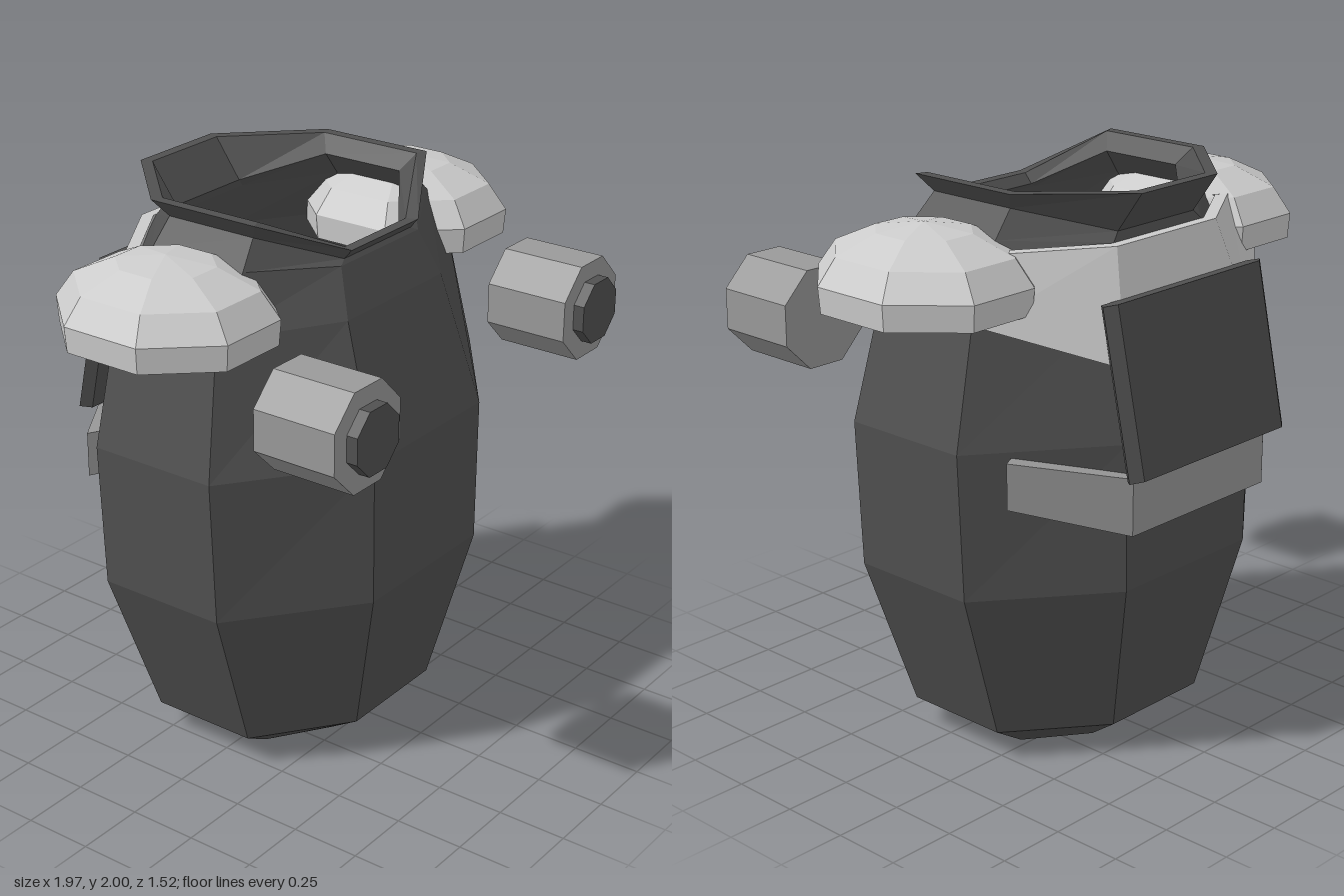
import * as THREE from 'three';

const mat = (color) => new THREE.MeshStandardMaterial({ color, flatShading: true, side: THREE.DoubleSide });
const dark = mat(0x505050), mid = mat(0x999999), light = mat(0xcccccc);

function add(parent, name, geometry, material) {
  const mesh = new THREE.Mesh(geometry, material);
  mesh.name = name;
  parent.add(mesh);
  return mesh;
}

// Skin a list of rings, each an array of [x, y, z] corners
function loft(rings, capped = false) {
  const n = rings[0].length, index = [];
  for (let i = 0; i < rings.length - 1; i++)
    for (let j = 0; j < n; j++) {
      const a = i * n + j, b = i * n + (j + 1) % n;
      index.push(a, b, b + n, a, b + n, a + n);
    }
  if (capped) {
    const e = (rings.length - 1) * n;
    for (let j = 1; j < n - 1; j++) index.push(0, j + 1, j, e, e + j, e + j + 1);
  }
  const g = new THREE.BufferGeometry();
  g.setAttribute('position', new THREE.Float32BufferAttribute(rings.flat(2), 3));
  g.setIndex(index);
  const flat = g.toNonIndexed();
  flat.computeVertexNormals();
  return flat;
}

// Eight-cornered body ring; inset moves the corners inwards
function bodyRing([yf, ys, yb, x, zf, zb, xf, sf, sb], inset = 0) {
  const t = inset, h = inset * 0.4;
  const half = [[xf - h, yf, zf - t], [x - t, ys, sf - h], [x - t, ys, sb + h], [xf - h, yb, zb + t]];
  return [...half, ...half.slice().reverse().map(([px, y, z]) => [-px, y, z])];
}

// Bent band with a thick section, mirrored across x; rows: top x, y, z, bottom x, y, z
function band(rows, k) {
  const zc = -0.08, inner = (x, y, z) => [x * k, y, zc + (z - zc) * k];
  const all = [...rows, ...rows.slice().reverse().map(([a, b, c, d, e, f]) => [-a, b, c, -d, e, f])];
  return loft(all.map(([a, b, c, d, e, f]) => [[d, e, f], [a, b, c], inner(a, b, c), inner(d, e, f)]), true);
}

export function createModel() {
  const model = new THREE.Group();
  model.name = 'armouredVest';

  // Barrel body and flared collar: front y, side y, back y, x, front z, back z, flat x, side z front, side z back
  const profile = [
    [0, 0, 0, 0.37, 0.22, -0.37, 0.16, 0.08, -0.22],
    [0.11, 0.11, 0.11, 0.54, 0.37, -0.52, 0.22, 0.13, -0.27],
    [0.68, 0.68, 0.68, 0.74, 0.5, -0.65, 0.31, 0.165, -0.32],
    [1.2, 1.2, 1.2, 0.765, 0.5, -0.65, 0.315, 0.165, -0.32],
    [1.66, 1.66, 1.66, 0.66, 0.355, -0.57, 0.27, 0.12, -0.3],
    [1.82, 1.85, 1.83, 0.52, 0.29, -0.5, 0.22, 0.12, -0.26],
    [1.835, 1.94, 1.86, 0.44, 0.28, -0.49, 0.19, 0.1, -0.25],
    [1.87, 2, 2, 0.485, 0.31, -0.59, 0.19, 0.14, -0.29],
  ];
  const outer = profile.map((r) => bodyRing(r));
  const lining = profile.map((r) => bodyRing(r, 0.04)).reverse();
  add(model, 'body', loft([...outer, ...lining, outer[0]]), dark);

  // Shoulder yoke and waist band around the back
  add(model, 'shoulderYoke', band([
    [0.6, 1.76, 0, 0.69, 1.63, 0],
    [0.55, 1.83, -0.35, 0.7, 1.62, -0.36],
    [0.25, 1.83, -0.54, 0.33, 1.46, -0.65],
  ], 0.92), light);
  add(model, 'waistBand', band([
    [0.67, 1.18, -0.45, 0.67, 1.02, -0.45],
    [0.34, 1.1, -0.7, 0.34, 0.9, -0.7],
  ], 0.92), mid);

  // Tilted back plate with chamfered sides
  const plateShape = new THREE.Shape([
    [-0.4, -0.005], [-0.36, -0.035], [0.36, -0.035], [0.4, -0.005], [0.37, 0.03], [-0.37, 0.03],
  ].map(([x, y]) => new THREE.Vector2(x, y)));
  const plateGeometry = new THREE.ExtrudeGeometry(plateShape, { depth: 0.58, bevelEnabled: false });
  plateGeometry.translate(0, 0, -0.29).rotateX(Math.PI / 2).scale(1, 1, 1);
  const plate = add(model, 'backPlate', plateGeometry, dark);
  plate.position.set(0, 1.39, -0.67);
  plate.rotation.x = 0.21;

  // Shoulder pads and forward-facing barrels
  const padProfile = [[0, 0], [0.98, 0], [1, 0.09], [0.83, 0.18], [0.45, 0.245], [0, 0.27]]
    .map(([r, y]) => new THREE.Vector2(r, y));
  for (const side of [1, -1]) {
    const label = side > 0 ? 'left' : 'right';
    const pad = add(model, label + 'ShoulderPad', new THREE.LatheGeometry(padProfile, 8, Math.PI / 8), light);
    pad.scale.set(0.352, 1, 0.39);
    pad.position.set(side * 0.662, 1.64, -0.08);

    const lamp = new THREE.Group();
    lamp.name = label + 'Barrel';
    lamp.position.set(side * 0.665, 1.495, 0);
    model.add(lamp);
    for (const [name, r, z0, z1, m] of [['barrelCase', 0.187, 0.41, 0.72, mid], ['barrelFace', 0.119, 0.7, 0.76, dark]]) {
      const g = new THREE.CylinderGeometry(r, r, z1 - z0, 8);
      g.rotateY(Math.PI / 8).rotateX(Math.PI / 2).translate(0, 0, (z0 + z1) / 2);
      add(lamp, name, g, m);
    }
  }
  return model;
}
